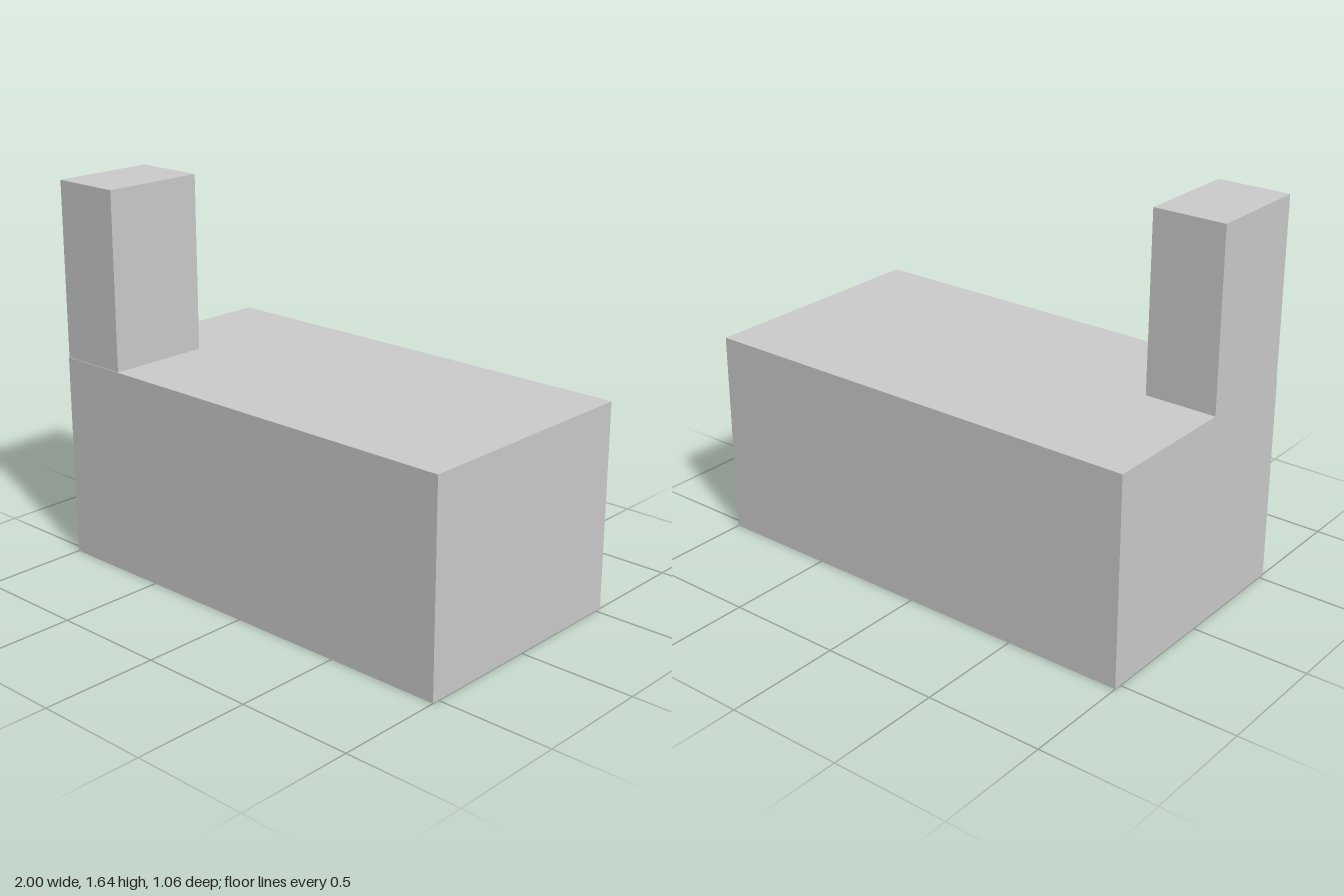
import * as THREE from 'three';

const material = new THREE.MeshStandardMaterial({ color: 0xcccccc, flatShading: true });

// Box given by its minimum and maximum corners
function block(name, min, max) {
  const [w, h, d] = max.map((v, i) => v - min[i]);
  const mesh = new THREE.Mesh(new THREE.BoxGeometry(w, h, d), material);
  mesh.name = name;
  mesh.position.set(min[0] + w / 2, min[1] + h / 2, min[2] + d / 2);
  return mesh;
}

export function createModel() {
  const group = new THREE.Group();
  group.name = 'buildingWithTower';
  group.add(
    // Long low main block
    block('mainBlock', [-1, 0, -0.532], [1, 0.886, 0.532]),
    // Tower on the front corner, flush with the end wall
    block('tower', [-1, 0.886, 0.076], [-0.688, 1.641, 0.529])
  );
  return group;
}
